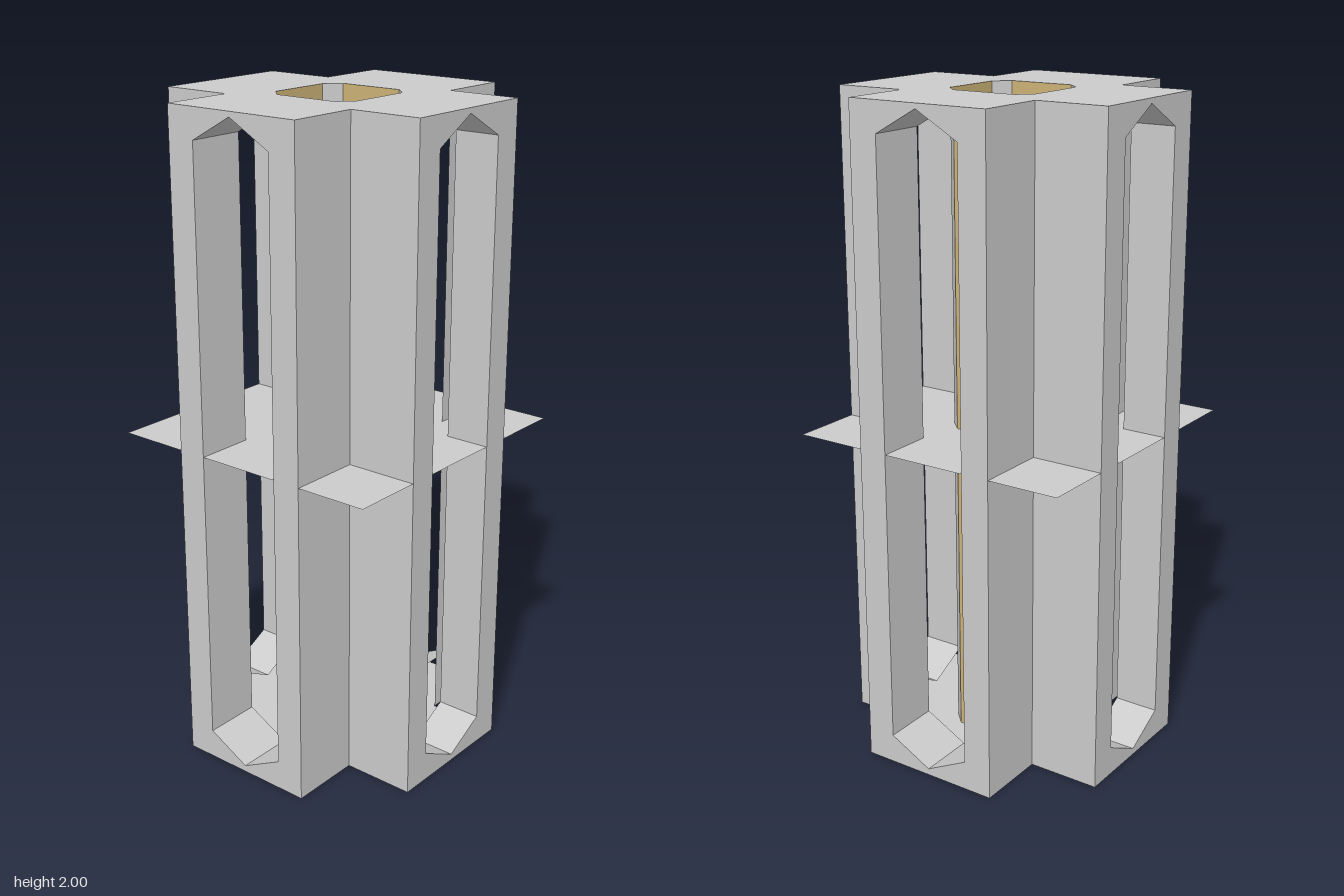
import * as THREE from 'three';

const H = 2, R = 0.45, A = 0.225; // height, reach of an arm, half width of an arm
const T = 0.145, C = 0.103;       // core tube: half width, half width of a flat

const grey = new THREE.MeshStandardMaterial({ color: 0xcccccc, flatShading: true });
const greyThin = new THREE.MeshStandardMaterial({ color: 0xcccccc, flatShading: true, side: THREE.DoubleSide });
const gold = new THREE.MeshStandardMaterial({ color: 0xccb277, flatShading: true, side: THREE.DoubleSide });

const points = (list) => list.map(([x, y]) => new THREE.Vector2(x, y));

// slot outline with pointed ends, counterclockwise
const slot = points([[0, 0.02], [0.135, 0.09], [0.135, 1.91], [0, 1.985], [-0.135, 1.91], [-0.135, 0.09]]);

function add(parent, name, geometry, material) {
  const mesh = new THREE.Mesh(geometry, material);
  mesh.name = name;
  parent.add(mesh);
  return mesh;
}

// band of faces lining the slot, running inward from the arm end
function slotLining(depth) {
  const pos = [];
  slot.forEach((p, i) => {
    const q = slot[(i + 1) % slot.length], z = R - depth;
    pos.push(p.x, p.y, R, q.x, q.y, R, q.x, q.y, z);
    pos.push(p.x, p.y, R, q.x, q.y, z, p.x, p.y, z);
  });
  const g = new THREE.BufferGeometry();
  g.setAttribute('position', new THREE.Float32BufferAttribute(pos, 3));
  g.computeVertexNormals();
  return g;
}

// cross-shaped end plate with an eight-sided hole
function crossPlate() {
  const shape = new THREE.Shape(points([
    [A, R], [-A, R], [-A, A], [-R, A], [-R, -A], [-A, -A],
    [-A, -R], [A, -R], [A, -A], [R, -A], [R, A], [A, A]]));
  shape.holes.push(new THREE.Path(points([
    [C, T], [T, C], [T, -C], [C, -T], [-C, -T], [-T, -C], [-T, C], [-C, T]])));
  return new THREE.ShapeGeometry(shape).rotateX(-Math.PI / 2);
}

// one arm of the cross, facing +z, with its share of the core tube
function makeArm(depth) {
  const arm = new THREE.Group();

  const end = new THREE.Shape(points([[-A, 0], [A, 0], [A, H], [-A, H]]));
  end.holes.push(new THREE.Path(slot.slice().reverse()));
  add(arm, 'slottedWall', new THREE.ShapeGeometry(end).translate(0, 0, R), grey);
  add(arm, 'slotLining', slotLining(depth), grey);

  for (const s of [-1, 1]) {
    const side = new THREE.PlaneGeometry(R - A, H).rotateY(s * Math.PI / 2);
    add(arm, 'sideWall', side.translate(s * A, H / 2, (R + A) / 2), grey);
  }

  add(arm, 'coreFlat', new THREE.PlaneGeometry(2 * C, H).translate(0, H / 2, T), gold);
  const bevel = new THREE.PlaneGeometry((T - C) * Math.SQRT2, H).rotateY(Math.PI / 4);
  add(arm, 'coreBevel', bevel.translate((T + C) / 2, H / 2, (T + C) / 2), greyThin);
  return arm;
}

export function createModel() {
  const model = new THREE.Group();
  model.name = 'crossColumn';

  // four arms around the axis
  ['frontArm', 'leftArm', 'backArm', 'rightArm'].forEach((name, i) => {
    const arm = makeArm(i % 2 ? 0.18 : 0.14);
    arm.name = name;
    arm.rotation.y = i * Math.PI / 2;
    model.add(arm);
  });

  // end plates
  add(model, 'bottomPlate', crossPlate(), greyThin);
  add(model, 'topPlate', crossPlate(), greyThin).position.y = H;

  // thin square plate at mid height
  const middle = new THREE.PlaneGeometry(2 * R, 2 * R).rotateX(-Math.PI / 2);
  add(model, 'middlePlate', middle, greyThin).position.y = H / 2;

  return model;
}
